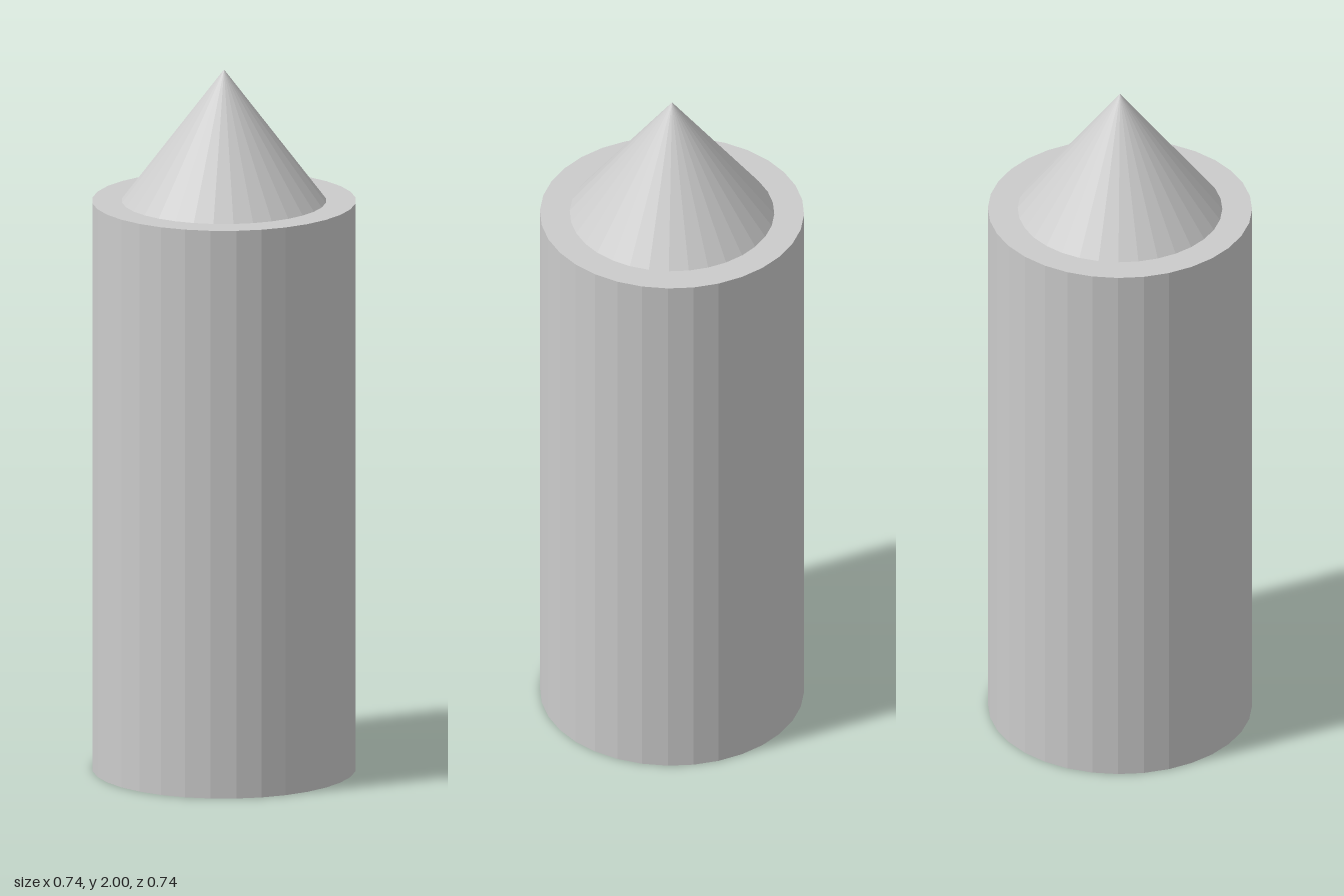
import * as THREE from 'three';

const SIDES = 32;
const BODY_RADIUS = 0.368;
const BODY_HEIGHT = 1.625;
const TIP_RADIUS = 0.285;
const TIP_HEIGHT = 2 - BODY_HEIGHT;

export function createModel() {
  const group = new THREE.Group();
  const material = new THREE.MeshStandardMaterial({ color: 0xcccccc, flatShading: true });

  // Adds a mesh whose base sits at the given height
  const addPart = (name, geometry, height, baseY) => {
    const mesh = new THREE.Mesh(geometry, material);
    mesh.name = name;
    mesh.position.y = baseY + height / 2;
    group.add(mesh);
  };

  // Faceted cylindrical body, closed at both ends
  addPart('body', new THREE.CylinderGeometry(BODY_RADIUS, BODY_RADIUS, BODY_HEIGHT, SIDES), BODY_HEIGHT, 0);

  // Narrower pointed tip on the body's top; its base is hidden by the body
  addPart('tip', new THREE.ConeGeometry(TIP_RADIUS, TIP_HEIGHT, SIDES, 1, true), TIP_HEIGHT, BODY_HEIGHT);

  return group;
}
